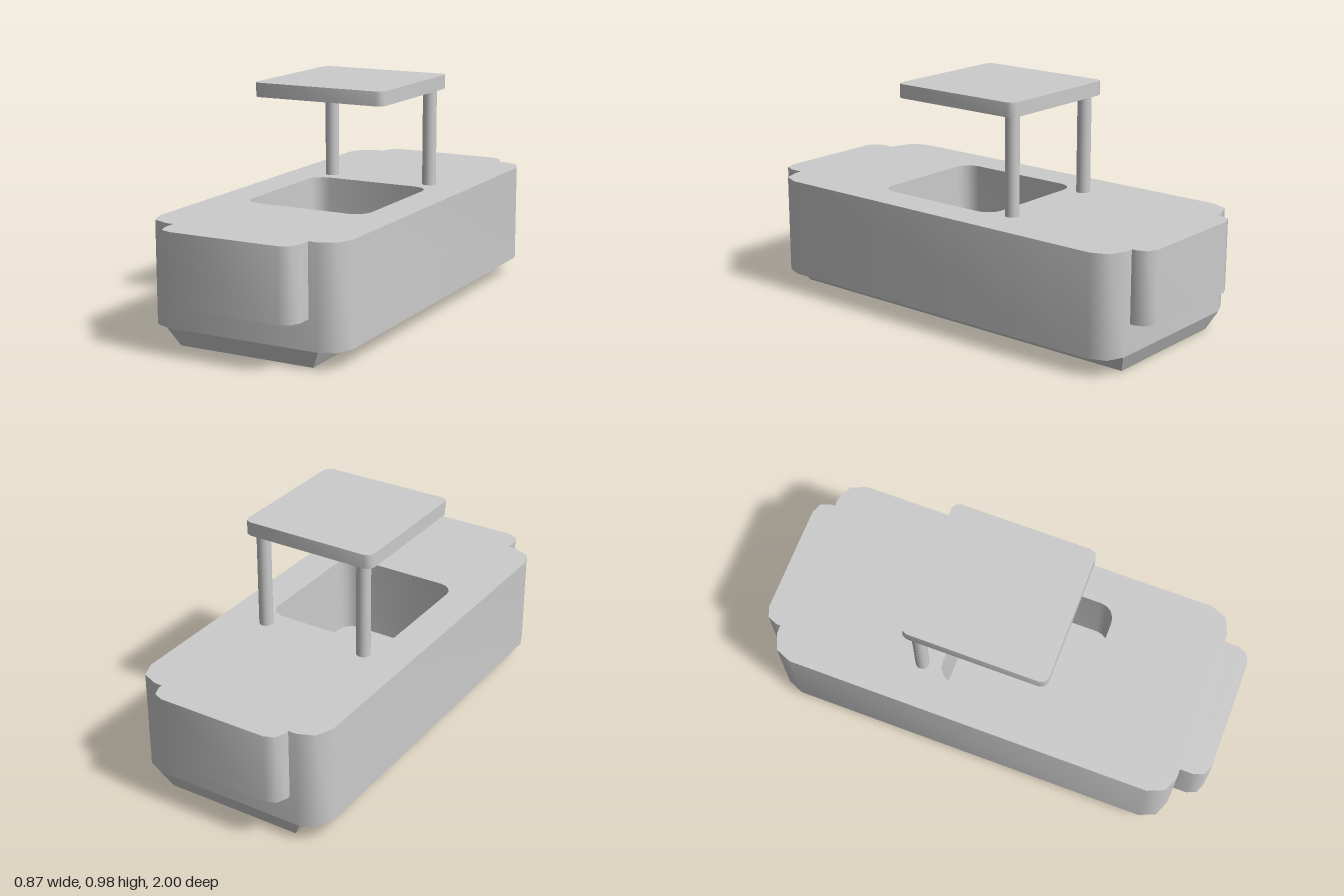
import * as THREE from 'three';
import { toCreasedNormals } from 'three/addons/utils/BufferGeometryUtils.js';

const material = new THREE.MeshStandardMaterial({ color: 0xcccccc });

// Plan outline in x and z; separate corner radii at the front and the back.
function outline(halfWidth, zBack, zFront, rFront, rBack = rFront, steps = 2) {
  const points = [];
  const corners = [
    [1, 1, rBack], [-1, 1, rBack], [-1, -1, rFront], [1, -1, rFront],
  ];
  corners.forEach(([sx, sy, r], i) => {
    const y = sy > 0 ? -zBack - r : -zFront + r;
    const n = r > 0 ? steps : 0;
    for (let k = 0; k <= n; k++) {
      const a = (i + (n ? k / n : 0)) * Math.PI / 2;
      points.push(new THREE.Vector2(sx * (halfWidth - r) + r * Math.cos(a), y + r * Math.sin(a)));
    }
  });
  return points;
}

// Upright slab from y0 to y1 over a plan outline, with an optional hole.
function slab(name, points, y0, y1, hole) {
  const shape = new THREE.Shape(points);
  if (hole) shape.holes.push(new THREE.Path(hole));
  const geometry = new THREE.ExtrudeGeometry(shape, { depth: y1 - y0, bevelEnabled: false });
  geometry.rotateX(-Math.PI / 2).translate(0, y0, 0);
  return part(name, toCreasedNormals(geometry, THREE.MathUtils.degToRad(50)));
}

function part(name, geometry) {
  const mesh = new THREE.Mesh(geometry, material);
  mesh.name = name;
  return mesh;
}

export function createModel() {
  const model = new THREE.Group();
  model.name = 'boat';

  // Hull with an open cockpit well and its floor
  const well = outline(0.28, -0.21, 0.4, 0.07, 0.07, 4);
  model.add(slab('hull', outline(0.435, -0.92, 0.88, 0.1), 0.075, 0.5, well));
  model.add(slab('cockpitFloor', well, 0.075, 0.15));

  // Blocks on the bow and the stern
  model.add(slab('bowBlock', outline(0.3, 0.88, 1, 0.06, 0), 0.2, 0.5));
  model.add(slab('sternBlock', outline(0.3, -1, -0.92, 0, 0.06), 0.2, 0.5));

  // Keel: a box whose lower face is drawn in on every side
  const keel = new THREE.BoxGeometry(0.68, 0.075, 1.8).toNonIndexed();
  const p = keel.attributes.position;
  for (let i = 0; i < p.count; i++) {
    if (p.getY(i) < 0) {
      p.setX(i, Math.sign(p.getX(i)) * 0.3);
      p.setZ(i, Math.sign(p.getZ(i)) * 0.865);
    }
  }
  keel.computeVertexNormals();
  keel.translate(0, 0.0375, -0.02);
  model.add(part('keel', keel));

  // Canopy on two posts
  for (const side of [-1, 1]) {
    const post = part(side > 0 ? 'leftPost' : 'rightPost', new THREE.CylinderGeometry(0.03, 0.03, 0.42, 16));
    post.position.set(side * 0.24, 0.71, -0.29);
    model.add(post);
  }
  model.add(slab('canopy', outline(0.3, -0.34, 0.28, 0.03), 0.92, 0.98));

  return model;
}
